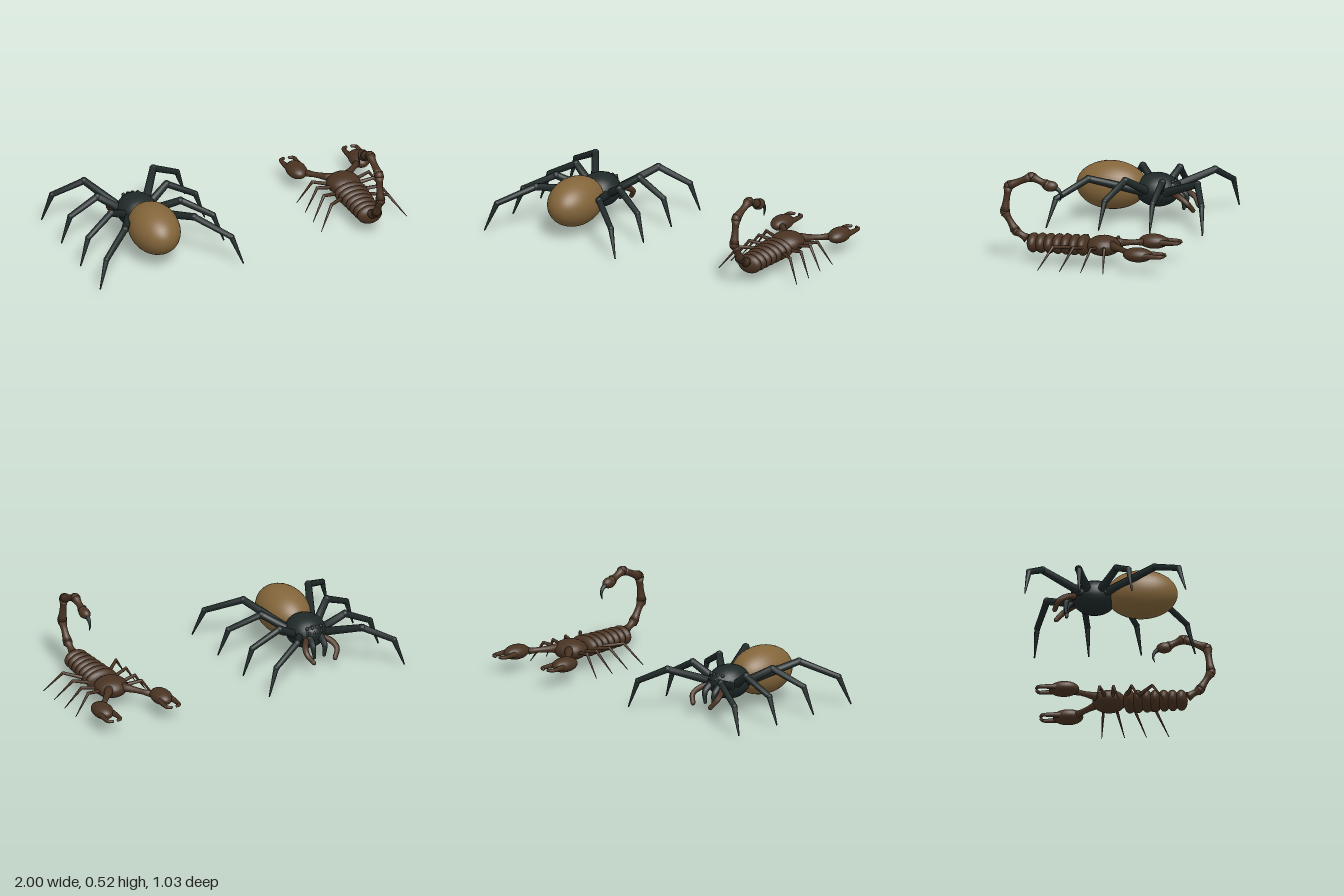
import * as THREE from 'three';

const paint = (color) => new THREE.MeshStandardMaterial({ color });
const black = paint(0x1f2828), tan = paint(0x83653a), brown = paint(0x493322);
const V = (p) => new THREE.Vector3(...p);
const UP = new THREE.Vector3(0, 1, 0);

function add(parent, name, geometry, material) {
  const mesh = new THREE.Mesh(geometry, material);
  mesh.name = name;
  parent.add(mesh);
  return mesh;
}

// Ellipsoid with its poles along z
function ellipsoid(parent, name, center, radii, material, detail = 24) {
  const geo = new THREE.SphereGeometry(1, detail, Math.ceil(detail * 0.66)).rotateX(Math.PI / 2);
  const mesh = add(parent, name, geo.scale(...radii), material);
  mesh.position.set(...center);
}

// Turned limb from a to b; radii are spread evenly along its length
function limb(parent, name, a, b, radii, material, sides = 10) {
  const start = V(a), dir = V(b).sub(start), length = dir.length();
  const last = radii.length - 1;
  const profile = radii.map((r, i) => new THREE.Vector2(r, (length * i) / last));
  profile.unshift(new THREE.Vector2(0, 0));
  profile.push(new THREE.Vector2(0, length));
  const mesh = add(parent, name, new THREE.LatheGeometry(profile, sides), material);
  mesh.position.copy(start);
  mesh.quaternion.setFromUnitVectors(UP, dir.normalize());
}

// Curved tube that tapers from r0 to r1
function horn(parent, name, points, r0, r1, material) {
  const curve = new THREE.CatmullRomCurve3(points.map(V));
  const rings = 14, sides = 8;
  const geo = new THREE.TubeGeometry(curve, rings, 1, sides);
  const pos = geo.attributes.position, p = new THREE.Vector3();
  for (let i = 0; i < pos.count; i++) {
    const t = Math.floor(i / (sides + 1)) / rings;
    const c = curve.getPointAt(t);
    p.fromBufferAttribute(pos, i).sub(c).multiplyScalar(r0 + (r1 - r0) * t).add(c);
    pos.setXYZ(i, p.x, p.y, p.z);
  }
  add(parent, name, geo, material);
  ellipsoid(parent, name + 'Base', points[0], [r0, r0, r0], material, 8);
  ellipsoid(parent, name + 'Tip', points[points.length - 1], [r1, r1, r1], material, 8);
}

function createSpider() {
  const g = new THREE.Group();
  g.name = 'spider';
  ellipsoid(g, 'abdomen', [0, 0.194, 0.163], [0.145, 0.142, 0.208], tan, 32);
  ellipsoid(g, 'thorax', [0, 0.18, -0.11], [0.118, 0.1, 0.13], black);
  ellipsoid(g, 'head', [0, 0.195, -0.19], [0.068, 0.058, 0.056], black);

  // Two rows of eyes
  for (let i = 0; i < 4; i++) {
    const x = (i - 1.5) * 0.03, back = Math.abs(x) * 0.25;
    ellipsoid(g, 'upperEye', [x, 0.238, -0.222 + back], [0.011, 0.011, 0.011], black, 10);
    ellipsoid(g, 'lowerEye', [x * 0.85, 0.215, -0.24 + back], [0.01, 0.01, 0.01], black, 10);
  }

  // Hip z, knee z, tip z of each leg
  const legs = [[-0.18, -0.4, -0.487], [-0.14, -0.19, -0.172], [-0.08, 0.03, 0.133], [-0.04, 0.25, 0.445]];
  for (const s of [-1, 1]) {
    for (const [hipZ, kneeZ, tipZ] of legs) {
      const leg = new THREE.Group();
      leg.name = 'spiderLeg';
      g.add(leg);
      const hip = [s * 0.08, 0.18, hipZ], knee = [s * 0.215, 0.268, kneeZ];
      const ankle = [s * 0.388, 0.178, kneeZ + (tipZ - kneeZ) * 0.77], tip = [s * 0.445, 0.015, tipZ];
      limb(leg, 'thigh', hip, knee, [0.025, 0.021], black);
      limb(leg, 'shin', knee, ankle, [0.02, 0.017], black);
      limb(leg, 'foot', ankle, tip, [0.017, 0.004], black);
      ellipsoid(leg, 'hipJoint', hip, [0.028, 0.028, 0.028], black, 12);
      ellipsoid(leg, 'kneeJoint', knee, [0.0225, 0.0225, 0.0225], black, 12);
      ellipsoid(leg, 'ankleJoint', ankle, [0.018, 0.018, 0.018], black, 12);
    }
    // Mouthparts
    horn(g, 'feeler', [[s * 0.055, 0.17, -0.22], [s * 0.086, 0.155, -0.265],
      [s * 0.098, 0.125, -0.31], [s * 0.07, 0.08, -0.338]], 0.02, 0.014, brown);
    horn(g, 'fang', [[s * 0.035, 0.18, -0.225], [s * 0.038, 0.145, -0.27], [s * 0.032, 0.08, -0.275]],
      0.024, 0.01, black);
  }
  return g;
}

function createScorpion() {
  const g = new THREE.Group();
  g.name = 'scorpion';
  ellipsoid(g, 'carapace', [0, 0.115, -0.105], [0.1, 0.06, 0.098], brown);

  // Overlapping body rings
  for (let i = 0; i < 7; i++) {
    ellipsoid(g, 'bodyRing', [0, 0.112, 0.013 + i * 0.05],
      [0.1 - i * 0.004, 0.061 - i * 0.0006, 0.037], brown);
  }

  // Tail bones, waisted in the middle, arching over the back
  const joints = [[0, 0.13, 0.345], [0, 0.175, 0.42], [0, 0.285, 0.485], [0, 0.44, 0.463],
    [0, 0.5, 0.325], [0, 0.458, 0.235]];
  for (let i = 0; i < 5; i++) {
    const a = V(joints[i]), b = V(joints[i + 1]);
    const gap = b.clone().sub(a).setLength(0.008);
    limb(g, 'tailBone', a.clone().add(gap).toArray(), b.clone().sub(gap).toArray(),
      [0.029, 0.023, 0.02, 0.019, 0.021, 0.029], brown, 16);
    ellipsoid(g, 'tailJoint', joints[i + 1], [0.027, 0.027, 0.027], brown, 14);
  }
  ellipsoid(g, 'stingBulb', [0, 0.449, 0.214], [0.031, 0.032, 0.046], brown, 18);
  horn(g, 'stinger', [[0, 0.44, 0.18], [0, 0.422, 0.159], [0, 0.395, 0.149], [0, 0.36, 0.158]],
    0.015, 0.002, black);

  // Hip z, knee z, tip z of each leg
  const legs = [[-0.12, -0.15, -0.165], [-0.08, -0.07, -0.032], [0, 0.035, 0.095], [0.06, 0.155, 0.225]];
  for (const s of [-1, 1]) {
    for (const [hipZ, kneeZ, tipZ] of legs) {
      const knee = [s * 0.175, 0.13, kneeZ];
      limb(g, 'upperLeg', [s * 0.07, 0.11, hipZ], knee, [0.012, 0.009], brown, 8);
      ellipsoid(g, 'legKnee', knee, [0.0095, 0.0095, 0.0095], brown, 8);
      limb(g, 'lowerLeg', knee, [s * 0.266, 0.004, tipZ], [0.009, 0.002], brown, 8);
    }
    // Claw arm, hand and two hooked fingers
    limb(g, 'clawArm', [s * 0.045, 0.125, -0.165], [s * 0.155, 0.113, -0.295],
      [0.03, 0.022, 0.017, 0.016, 0.021], brown, 14);
    ellipsoid(g, 'clawHand', [s * 0.194, 0.113, -0.355], [0.059, 0.043, 0.088], brown);
    for (const f of [-1, 1]) {
      const x = (d) => s * 0.194 + f * d;
      horn(g, 'clawFinger', [[x(0.036), 0.113, -0.4], [x(0.041), 0.113, -0.46],
        [x(0.039), 0.113, -0.502], [x(0.018), 0.113, -0.513]], 0.018, 0.009, brown);
    }
  }
  return g;
}

export function createModel() {
  const model = new THREE.Group();
  model.name = 'spiderAndScorpion';
  const spider = createSpider(), scorpion = createScorpion();
  spider.position.x = -0.551;
  scorpion.position.x = 0.729;
  model.add(spider, scorpion);
  return model;
}
